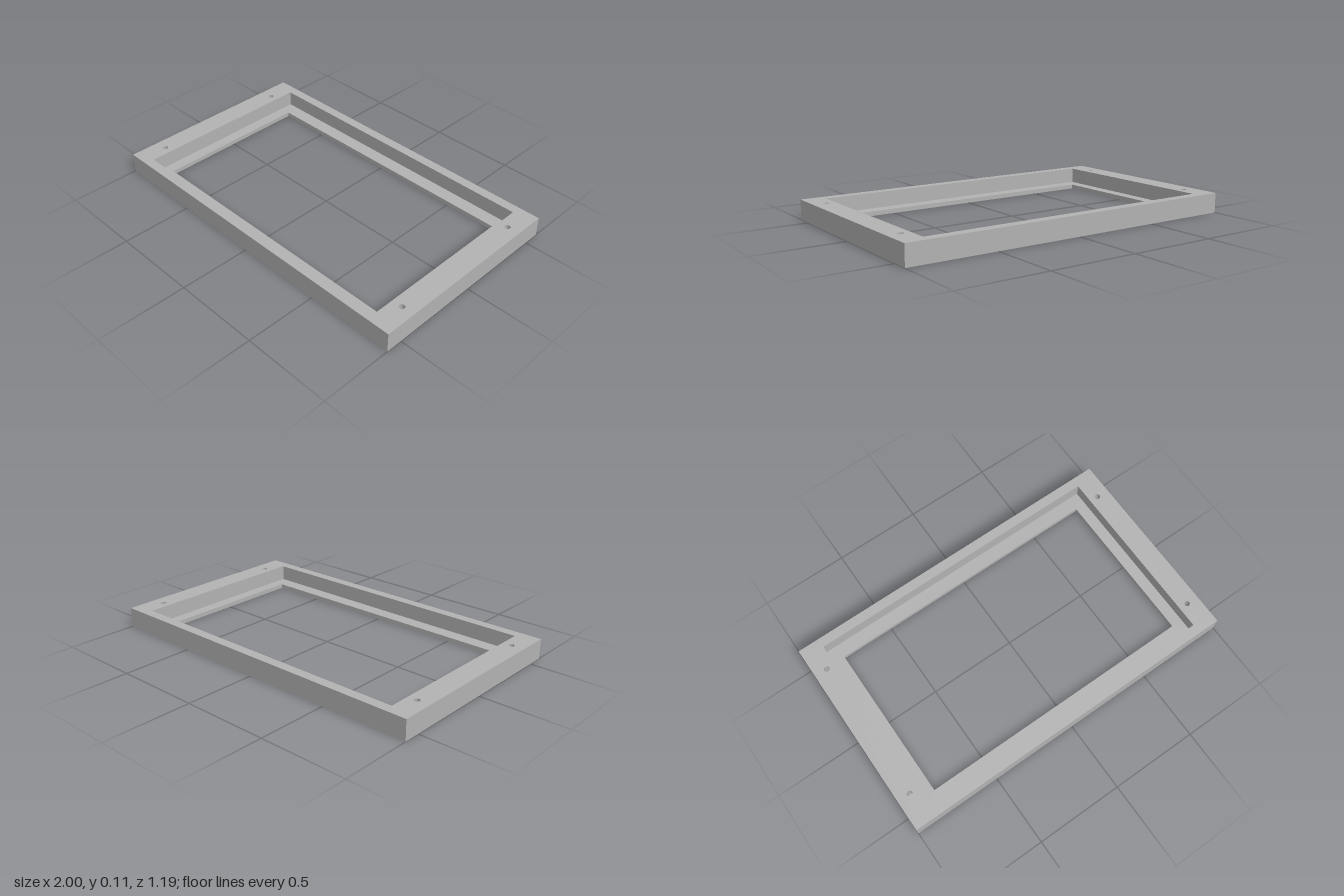
import * as THREE from 'three';

const W = 1, D = 0.593, HEIGHT = 0.114, LIP = 0.025;

// Rectangle outline with half sizes w, d and optional small corner radius
function rectangle(target, w, d, r = 0) {
  if (!r) {
    return target.moveTo(-w, -d).lineTo(w, -d).lineTo(w, d).lineTo(-w, d).closePath();
  }
  target.moveTo(-w + r, -d);
  target.absarc(w - r, -d + r, r, -Math.PI / 2, 0);
  target.absarc(w - r, d - r, r, 0, Math.PI / 2);
  target.absarc(-w + r, d - r, r, Math.PI / 2, Math.PI);
  target.absarc(-w + r, -d + r, r, Math.PI, Math.PI * 1.5);
  return target.closePath();
}

// Extrude a plan shape upwards from height y
function slab(name, shape, y, height, material) {
  const geometry = new THREE.ExtrudeGeometry(shape, { depth: height, bevelEnabled: false, curveSegments: 12 });
  geometry.rotateX(-Math.PI / 2);
  geometry.translate(0, y, 0);
  const mesh = new THREE.Mesh(geometry, material);
  mesh.name = name;
  return mesh;
}

export function createModel() {
  const group = new THREE.Group();
  group.name = 'bezelFrame';
  const grey = new THREE.MeshStandardMaterial({ color: 0xb2b2b2 });
  grey.name = 'plain grey';

  // Bottom lip around the window; it also closes the screw holes
  const lip = rectangle(new THREE.Shape(), W, D);
  lip.holes.push(rectangle(new THREE.Path(), 0.808, 0.457));
  group.add(slab('windowLip', lip, 0, LIP, grey));

  // Upper rim with the wider pocket and four blind screw holes
  const rim = rectangle(new THREE.Shape(), W, D);
  rim.holes.push(rectangle(new THREE.Path(), 0.874, 0.537, 0.008));
  for (const x of [-0.926, 0.926]) {
    for (const z of [-0.416, 0.416]) {
      rim.holes.push(new THREE.Path().absarc(x, z, 0.016, 0, Math.PI * 2));
    }
  }
  group.add(slab('rim', rim, LIP, HEIGHT - LIP, grey));
  return group;
}
